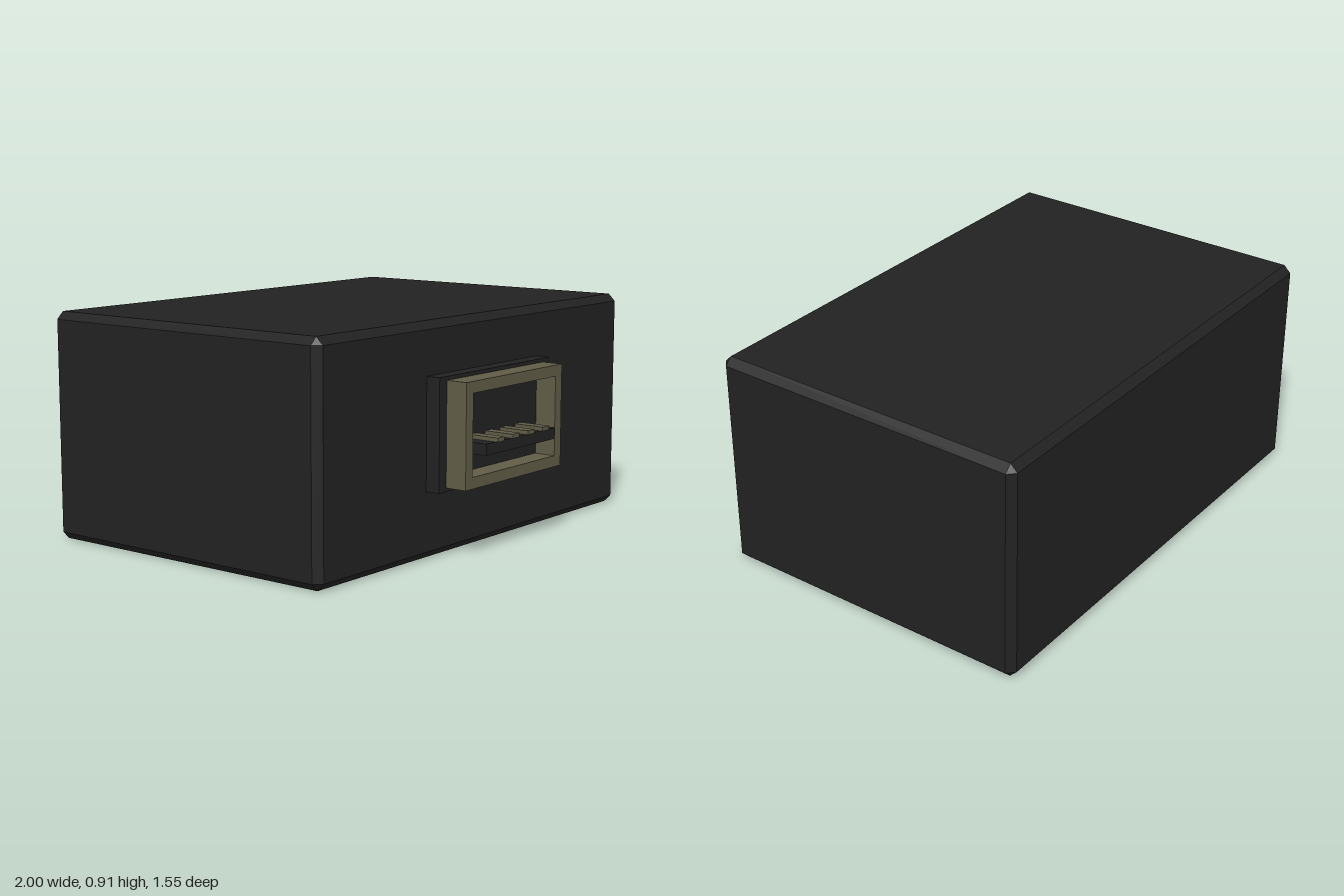
import * as THREE from 'three';
import { ConvexGeometry } from 'three/addons/geometries/ConvexGeometry.js';

// Box with flat chamfers on every edge
function chamferedBox(w, h, d, c) {
  const points = [];
  for (const sx of [-1, 1]) for (const sy of [-1, 1]) for (const sz of [-1, 1]) {
    for (let axis = 0; axis < 3; axis++) {
      const inset = [c, c, c];
      inset[axis] = 0;
      points.push(new THREE.Vector3(
        sx * (w / 2 - inset[0]), sy * (h / 2 - inset[1]), sz * (d / 2 - inset[2])));
    }
  }
  return new ConvexGeometry(points);
}

export function createModel() {
  const model = new THREE.Group();
  model.name = 'socketBox';
  const black = new THREE.MeshStandardMaterial({ color: 0x222222 });
  black.name = 'blackPlastic';
  const brass = new THREE.MeshStandardMaterial({ color: 0x605c47 });
  brass.name = 'dullBrass';

  const add = (name, geometry, material, x, y, z, parent = model) => {
    const mesh = new THREE.Mesh(geometry, material);
    mesh.name = name;
    mesh.position.set(x, y, z);
    parent.add(mesh);
    return mesh;
  };

  // Housing
  add('housing', chamferedBox(2, 0.91, 1.36, 0.03), black, 0, 0.455, -0.095);

  // Socket: collar, metal frame, tongue and contacts
  const socket = new THREE.Group();
  socket.name = 'socket';
  model.add(socket);
  add('collar', new THREE.BoxGeometry(0.74, 0.44, 0.085), black, 0, 0.485, 0.6025, socket);

  const rect = (Type, w, h) => new Type([
    new THREE.Vector2(-w / 2, -h / 2), new THREE.Vector2(w / 2, -h / 2),
    new THREE.Vector2(w / 2, h / 2), new THREE.Vector2(-w / 2, h / 2)]);
  const frame = rect(THREE.Shape, 0.65, 0.41);
  frame.holes.push(rect(THREE.Path, 0.56, 0.32));
  add('metalFrame', new THREE.ExtrudeGeometry(frame, { depth: 0.09, bevelEnabled: false }),
    brass, 0, 0.485, 0.645, socket);

  add('tongue', new THREE.BoxGeometry(0.47, 0.045, 0.125), black, 0, 0.4265, 0.7025, socket);
  for (let i = 0; i < 4; i++) {
    add('contact' + (i + 1), new THREE.BoxGeometry(0.045, 0.016, 0.13),
      brass, -0.153 + i * 0.102, 0.457, 0.71, socket);
  }
  return model;
}
